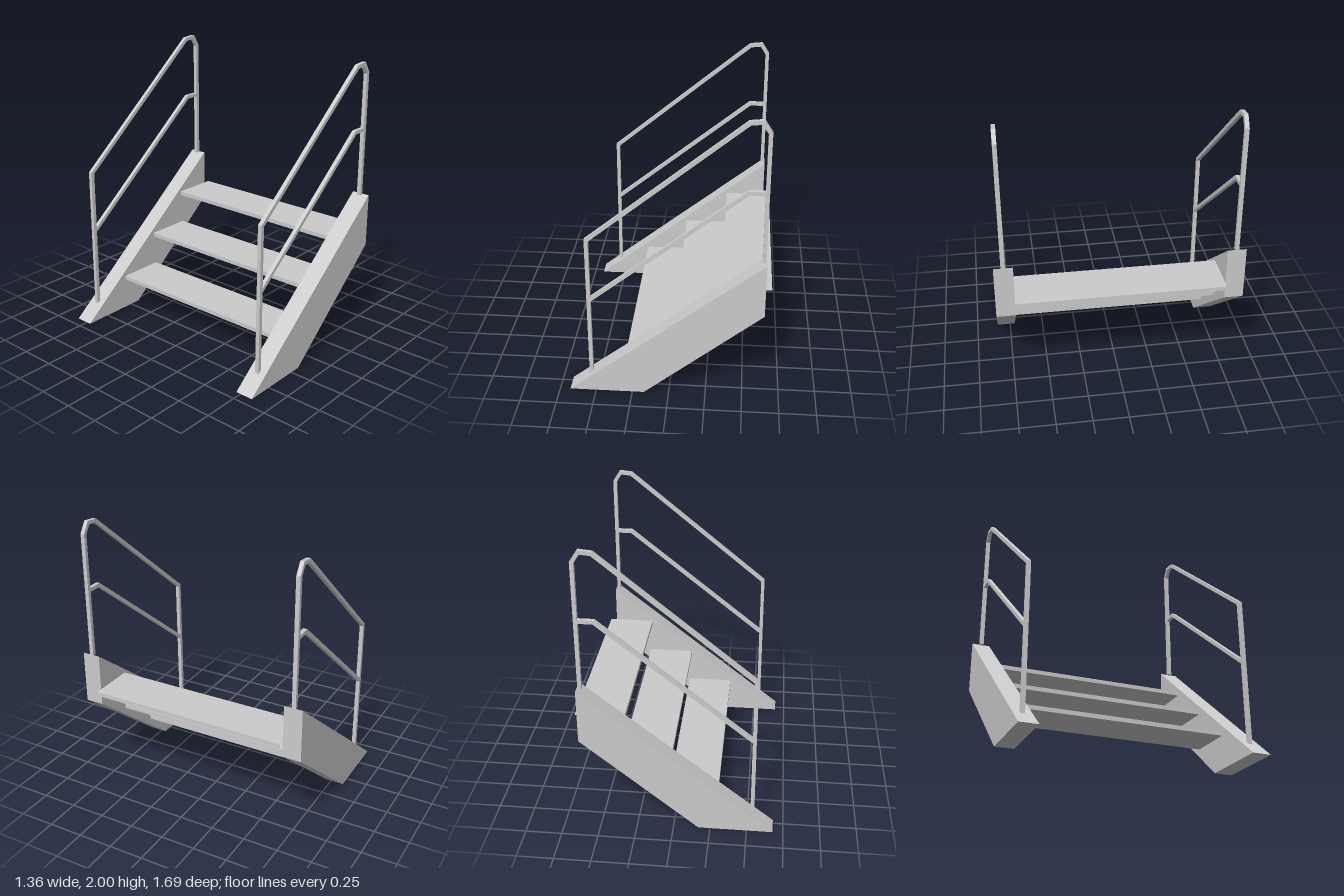
import * as THREE from 'three';

const material = new THREE.MeshStandardMaterial({ color: 0xcccccc, flatShading: true });

// Prism from an outline in the xy plane, centred on the given z
function prism(name, points, depth, z) {
  const shape = new THREE.Shape(points.map(([x, y]) => new THREE.Vector2(x, y)));
  const geometry = new THREE.ExtrudeGeometry(shape, { depth, bevelEnabled: false });
  geometry.translate(0, 0, z - depth / 2);
  const mesh = new THREE.Mesh(geometry, material);
  mesh.name = name;
  return mesh;
}

// Outline of a bar of constant width along a path, with mitred corners
function barOutline(path, width) {
  const pts = path.map(([x, y]) => new THREE.Vector2(x, y));
  const left = [], right = [];
  const normal = (a, b) => {
    const d = b.clone().sub(a).normalize();
    return new THREE.Vector2(-d.y, d.x);
  };
  pts.forEach((p, i) => {
    const n1 = normal(pts[Math.max(i - 1, 0)], pts[Math.max(i, 1)]);
    const last = pts.length - 1;
    const n2 = normal(pts[Math.min(i, last - 1)], pts[Math.min(i + 1, last)]);
    const m = n1.clone().add(n2).normalize();
    m.multiplyScalar(width / 2 / m.dot(n1));
    left.push([p.x + m.x, p.y + m.y]);
    right.unshift([p.x - m.x, p.y - m.y]);
  });
  return [...left, ...right];
}

export function createModel() {
  const model = new THREE.Group();
  model.name = 'staircase';

  const stringer = [[-0.68, 0], [-0.17, 0], [0.63, 0.66], [0.63, 1.04]];
  const handrail = [
    [-0.536, 0.1], [-0.53, 1.147], [0.488, 1.978],
    [0.568, 1.986], [0.612, 1.918], [0.612, 1.035],
  ];
  const midRail = [[-0.53, 0.695], [0.498, 1.52], [0.605, 1.52]];

  // Stringer and railing on each side
  for (const [side, s] of [['left', -1], ['right', 1]]) {
    const group = new THREE.Group();
    group.name = side === 'left' ? 'backSide' : 'frontSide';
    group.add(
      prism('stringer', stringer, 0.13, s * 0.78),
      prism('handrail', barOutline(handrail, 0.026), 0.028, s * 0.78),
      prism('midRail', barOutline(midRail, 0.026), 0.028, s * 0.78),
    );
    model.add(group);
  }

  // Treads, open where they butt against the stringers
  for (let i = 0; i < 3; i++) {
    const geometry = new THREE.BoxGeometry(0.335, 0.03, 1.43);
    geometry.setIndex(Array.from(geometry.index.array).slice(0, 24));
    geometry.clearGroups();
    const tread = new THREE.Mesh(geometry, material);
    tread.name = `tread${i + 1}`;
    tread.position.set(-0.13 + i * 0.319, 0.245 + i * 0.26, 0);
    model.add(tread);
  }

  return model;
}
